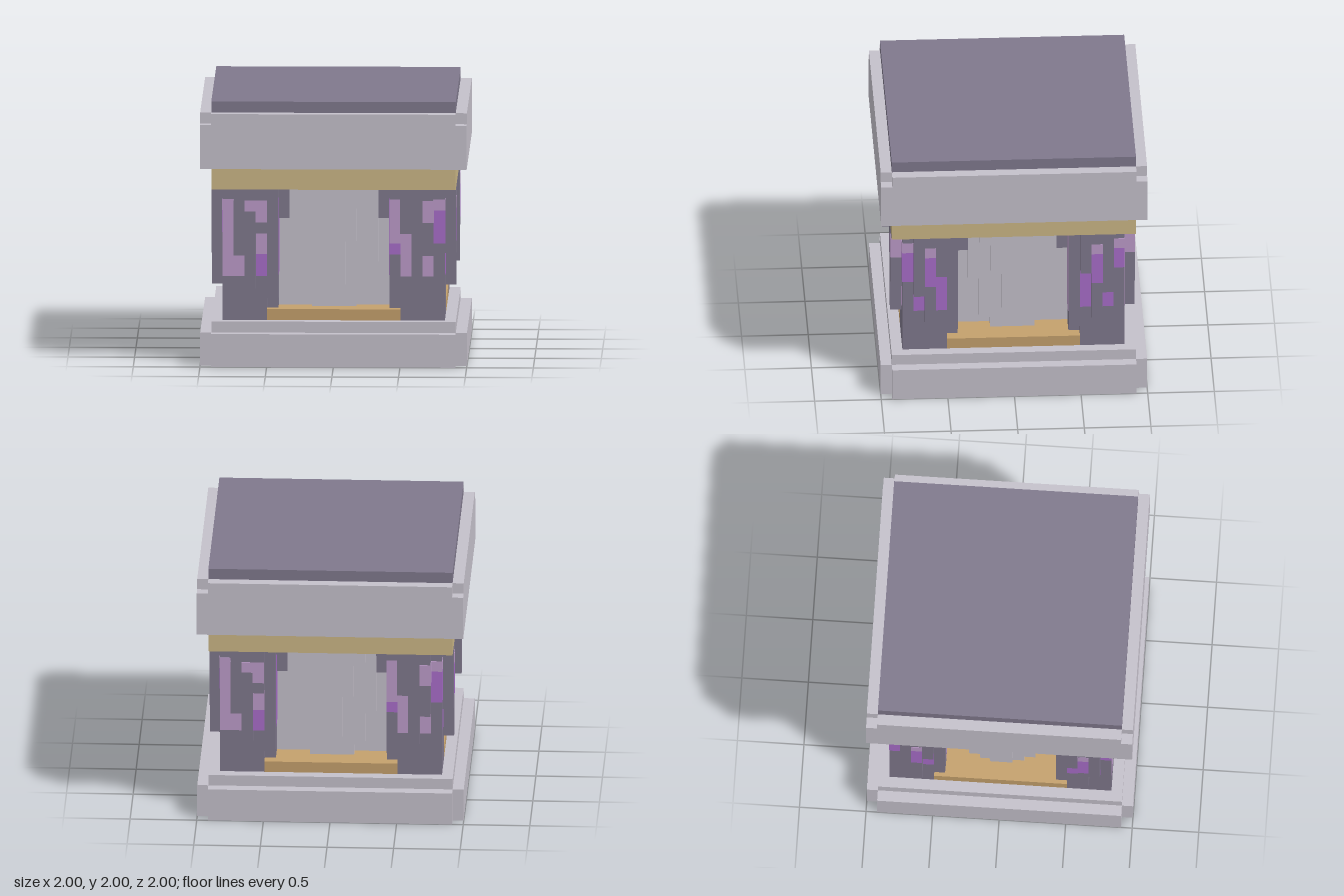
import * as THREE from 'three';

const U = 1 / 12; // one block of the 24-block grid

function mat(name, color) {
  const m = new THREE.MeshStandardMaterial({ color });
  m.name = name;
  return m;
}

export function createModel() {
  const stone = mat('pale stone', 0xc4c0ca);
  const dark = mat('dark stone', 0x7f788c);
  const gold = mat('pale gold', 0xcab685);
  const bronze = mat('bronze gold', 0xc4a06c);
  const pink = mat('pale crystal', 0xbc9bc9);
  const purple = mat('purple crystal', 0xa86dc9);

  // Box given by its limits in blocks
  function box(parent, name, material, x0, x1, y0, y1, z0, z1) {
    const mesh = new THREE.Mesh(
      new THREE.BoxGeometry((x1 - x0) * U, (y1 - y0) * U, (z1 - z0) * U), material);
    mesh.position.set((x0 + x1) / 2 * U, (y0 + y1) / 2 * U, (z0 + z1) / 2 * U);
    mesh.name = name;
    parent.add(mesh);
  }
  const slab = (parent, name, m, r, y0, y1, rz = r) => box(parent, name, m, -r, r, y0, y1, -rz, rz);

  const model = new THREE.Group();
  model.name = 'pedestal';

  // Base with notched corners, and the capital above
  slab(model, 'baseSlab', stone, 12, 0, 3, 11);
  slab(model, 'baseSlabCross', stone, 11, 0, 3, 12);
  slab(model, 'baseStep', stone, 11, 3, 4);
  slab(model, 'core', stone, 7, 4, 16);
  slab(model, 'goldBand', gold, 11, 16, 18);
  slab(model, 'capital', stone, 12, 18, 22);
  slab(model, 'capitalRim', stone, 12, 22, 23, 11);
  slab(model, 'capitalRimCross', stone, 11, 22, 23, 12);
  slab(model, 'topPlate', dark, 11, 23, 24);

  // Corner pillars
  for (const sx of [-1, 1]) for (const sz of [-1, 1]) {
    const x = sx * 8, z = sz * 8;
    box(model, 'cornerPillar', dark, x - 2, x + 2, 4, 16, z - 2, z + 2);
  }

  // Crystal patches per face: x0, x1, y0, y1, surface z, material
  const frontPatches = [
    [-10, -9, 8, 15, 10, pink], [-9, -8, 8, 10, 10, pink],
    [-8, -6, 14, 15, 11, pink], [-7, -6, 13, 14, 11, pink],
    [-7, -6, 10, 12, 10, pink], [-7, -6, 8, 10, 10, purple],
    [5, 6, 11, 15, 10, pink], [5, 6, 10, 11, 10, purple],
    [6, 7, 8, 12, 10, pink], [8, 9, 13, 15, 11, pink],
    [9, 10, 14, 15, 10, pink], [9, 10, 11, 14, 10, purple],
    [8, 9, 8, 10, 10, pink],
  ];
  const sidePatches = [];
  for (const s of [-1, 1]) {
    const add = (a, b, y0, y1, z, m) =>
      sidePatches.push([Math.min(s * a, s * b), Math.max(s * a, s * b), y0, y1, z, m]);
    add(9, 10, 14, 15, 10, pink);
    add(9, 10, s < 0 ? 11 : 12, 14, 10, purple);
    add(7, 8, 14, 15, 11, pink);
    add(7, 8, 11, 14, 11, purple);
    add(8, 9, 8, 10, 10, purple);
    add(6, 7, 8, 12, 10, purple);
  }

  // Four sides, each built facing +z and turned
  for (let k = 0; k < 4; k++) {
    const side = new THREE.Group();
    side.name = ['frontSide', 'leftSide', 'backSide', 'rightSide'][k];
    side.rotation.y = k * Math.PI / 2;
    model.add(side);

    box(side, 'bronzeSill', bronze, -6, 6, 4, 5, 6, 10);

    // Stepped panel, two layers tapering downward
    for (const [x0, x1, y0, y1] of [[-4, 4, 10, 16], [-3, 4, 9, 10], [-3, 3, 6, 9], [-2, 2, 5, 6]])
      box(side, 'panelLayer', stone, x0, x1, y0, y1, 7, 8);
    for (const [r, y0, y1] of [[3, 14, 16], [2, 11, 14], [1, 7, 11]])
      box(side, 'panelTip', stone, -r, r, y0, y1, 8, 9);

    for (const s of [-1, 1]) {
      const part = (name, m, a, b, y0, y1, z0, z1) =>
        box(side, name, m, Math.min(s * a, s * b), Math.max(s * a, s * b), y0, y1, z0, z1);
      // Inner edge of the pillar with foot and bracket
      part('pillarEdge', dark, 5, 6, 6, 16, 7, 10);
      part('pillarFoot', dark, 5, 6, 5, 6, 7, 9);
      part('bracket', dark, 4, 5, 13, 15, 7, 8);
      part('bracketTop', dark, 4, 5, 15, 16, 7, 9);
      // Hanging blocks on the pillar face
      part('hangingBlock', dark, 6, 9, 12, 16, 10, 11);
      part('hangingBlock', dark, 7, 9, 10, 12, 10, 11);
      part('hangingBlock', dark, 7, 8, 7, 10, 10, 11);
      // Crystal on the inner face and on the outer edge of the hanging block
      part('innerCrystal', k % 2 ? pink : purple, 4.96, 5, k % 2 ? 7 : 8, 15, 7, 9);
      if (k % 2 === 0) part('edgeCrystal', pink, 9, 9.04, 13, 15, 10, 11);
    }

    for (const [x0, x1, y0, y1, z, m] of k % 2 ? sidePatches : frontPatches)
      box(side, 'crystalPatch', m, x0, x1, y0, y1, z, z + 0.04);
  }
  return model;
}
